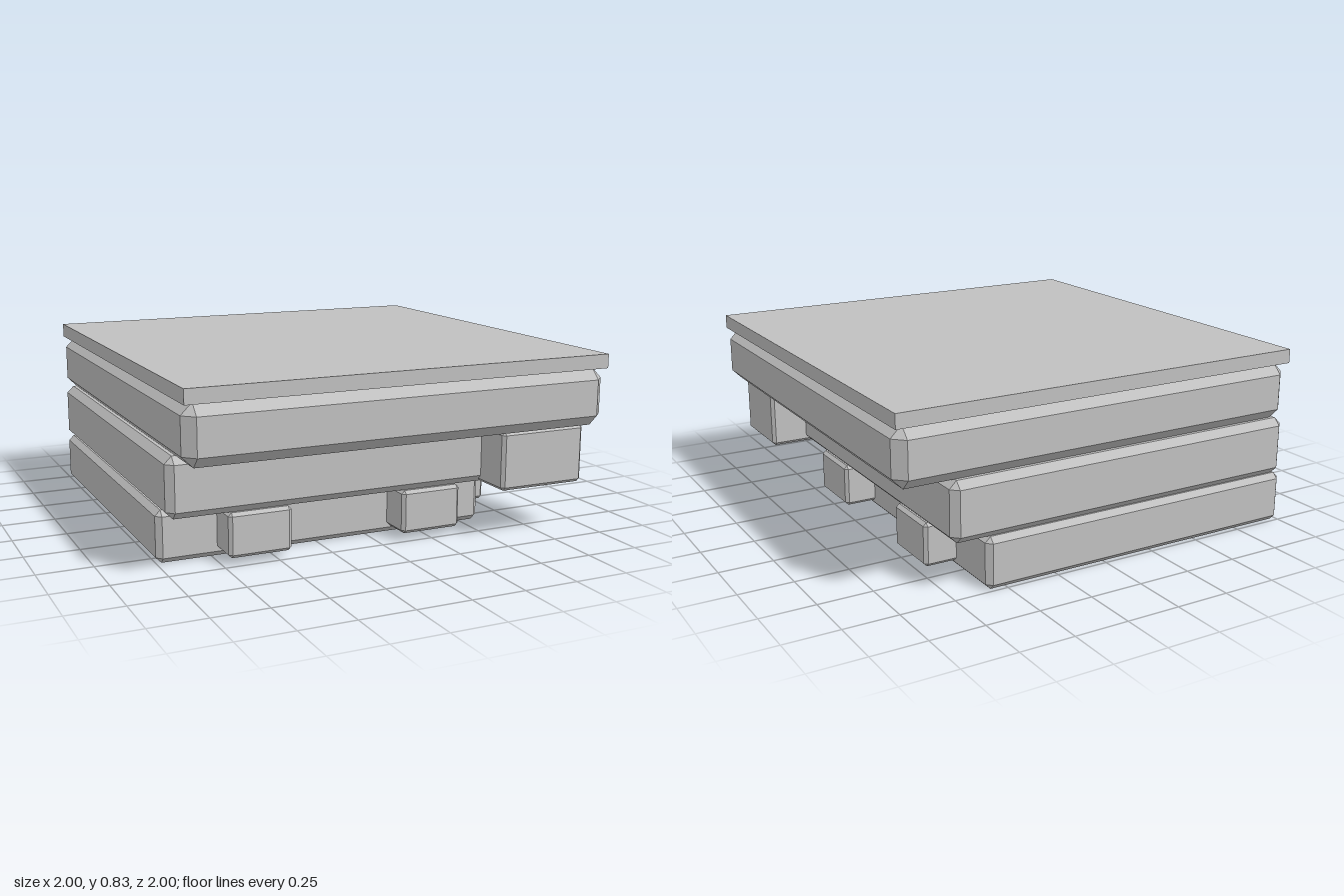
import * as THREE from 'three';
import { ConvexGeometry } from 'three/addons/geometries/ConvexGeometry.js';

// Box between two corners with every edge cut at 45 degrees by c
function chamferedBox([x0, y0, z0], [x1, y1, z1], c) {
  const points = [];
  for (const sx of [-1, 1]) for (const sy of [-1, 1]) for (const sz of [-1, 1]) {
    const x = sx < 0 ? x0 : x1, y = sy < 0 ? y0 : y1, z = sz < 0 ? z0 : z1;
    points.push(
      new THREE.Vector3(x, y - sy * c, z - sz * c),
      new THREE.Vector3(x - sx * c, y, z - sz * c),
      new THREE.Vector3(x - sx * c, y - sy * c, z)
    );
  }
  return new ConvexGeometry(points);
}

export function createModel() {
  const model = new THREE.Group();
  model.name = 'corniceCorner';
  const stone = new THREE.MeshStandardMaterial({ color: 0xc0c0c0 });
  stone.name = 'grey stone';

  const add = (name, geometry) => {
    const mesh = new THREE.Mesh(geometry, stone);
    mesh.name = name;
    model.add(mesh);
    return mesh;
  };

  // Three tiers stepping outward, all flush at the back -x corner
  add('lowerTier', chamferedBox([-1, 0, -1], [0.595, 0.235, 0.595], 0.025));
  add('middleTier', chamferedBox([-1, 0.235, -1], [0.755, 0.505, 0.755], 0.033));
  add('upperTier', chamferedBox([-1, 0.505, -1], [1, 0.77, 1], 0.05));

  // Flat cap
  add('topSlab', new THREE.BoxGeometry(2, 0.065, 2)).position.y = 0.8025;

  // Projecting block at the outer corner of the middle tier
  add('cornerBlock', chamferedBox([0.5, 0.235, 0.575], [0.93, 0.505, 0.935], 0.015));

  // Small brackets along the two outer faces of the lower tier
  for (const [a, b] of [[-0.73, -0.44], [0.1, 0.395]]) {
    add('frontBracket', chamferedBox([a, 0.035, 0.45], [b, 0.235, 0.75], 0.015));
  }
  for (const [a, b] of [[-0.725, -0.435], [0.105, 0.4]]) {
    add('sideBracket', chamferedBox([0.45, 0.035, a], [0.745, 0.235, b], 0.015));
  }
  return model;
}
